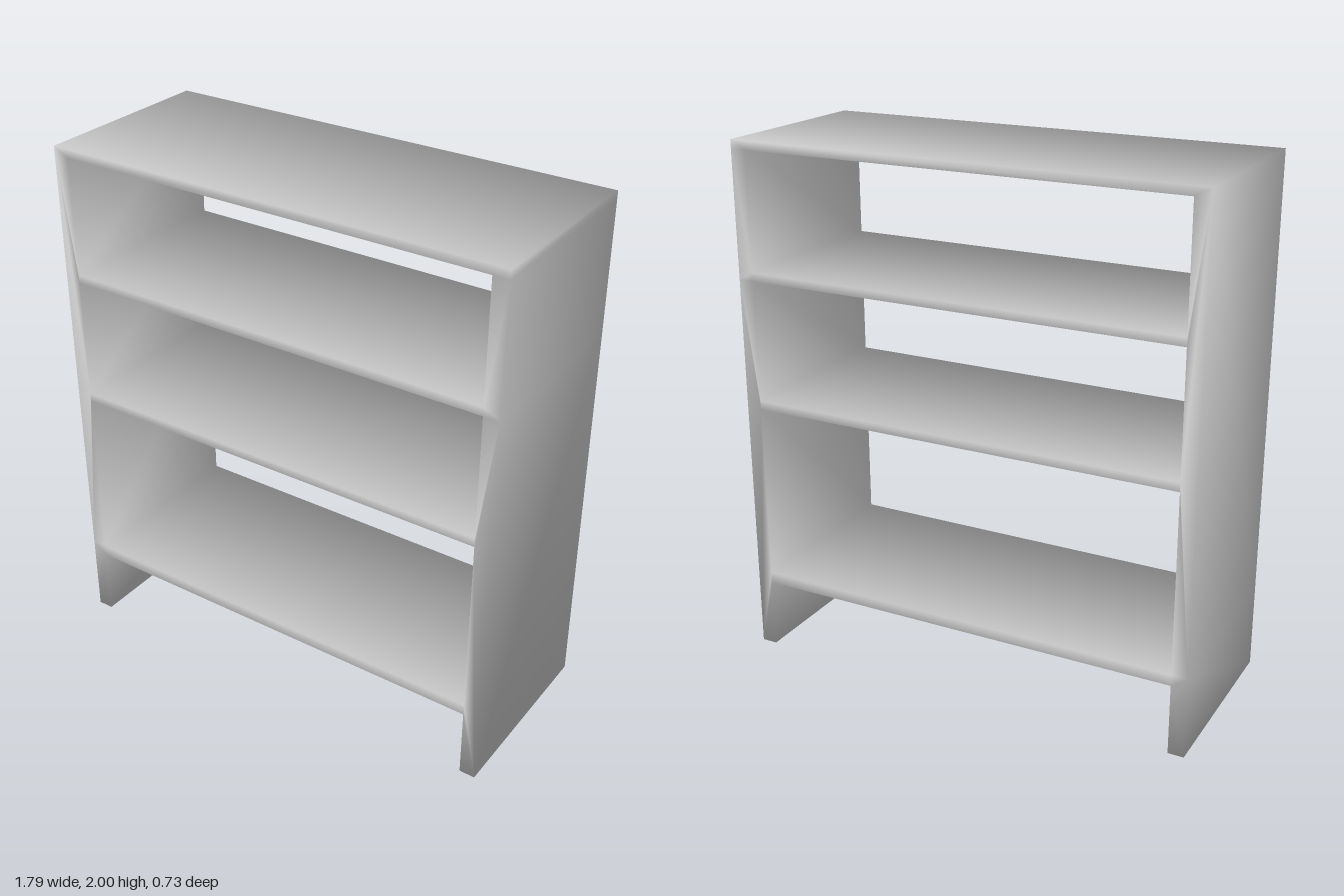
import * as THREE from 'three';

const X = 0.894, IN = 0.834, TOP = 2, Z = 0.364; // half width, inner half width, height, half depth
// Heights along the inner side walls: floor, then bottom and top of each board
const LEVELS = [0, 0.27, 0.312, 0.995, 1.028, 1.49, 1.522, 1.967];

const v = (x, y, z) => new THREE.Vector3(x, y, z);
const key = (p) => p.toArray().map((n) => n.toFixed(3)).join();

export function createModel() {
  const parts = {};        // part name -> list of corner points, three per triangle
  const normals = new Map(); // normals shared by all parts, so shading flows across joints

  // Triangle facing "dir"; adds its angle-weighted normal to the shared corners
  const tri = (part, dir, a, b, c) => {
    const n = b.clone().sub(a).cross(c.clone().sub(a)).normalize();
    if (n.dot(dir) < 0) {
      n.negate();
      [b, c] = [c, b];
    }
    const corners = [a, b, c];
    corners.forEach((p, i) => {
      const e1 = corners[(i + 1) % 3].clone().sub(p);
      const e2 = corners[(i + 2) % 3].clone().sub(p);
      const k = key(p);
      if (!normals.has(k)) normals.set(k, v(0, 0, 0));
      normals.get(k).addScaledVector(n, e1.angleTo(e2));
    });
    (parts[part] ??= []).push(...corners);
  };

  // Quad split along a-c
  const quad = (part, dir, a, b, c, d) => {
    tri(part, dir, a, b, c);
    tri(part, dir, a, c, d);
  };

  // Side panel with s = +1 or -1, its outer edge divided at the given heights
  const side = (part, s, outer) => {
    const xo = s * X, xi = s * IN;

    // Outer face
    for (let i = 0; i + 1 < outer.length; i++) {
      const [y0, y1] = [outer[i], outer[i + 1]];
      quad(part, v(s, 0, 0), v(xo, y0, Z), v(xo, y0, -Z), v(xo, y1, -Z), v(xo, y1, Z));
    }

    // Inner wall between the boards
    for (let i = 0; i < LEVELS.length; i += 2) {
      const [y0, y1] = [LEVELS[i], LEVELS[i + 1]];
      quad(part, v(-s, 0, 0), v(xi, y0, Z), v(xi, y0, -Z), v(xi, y1, -Z), v(xi, y1, Z));
    }

    // Foot
    quad(part, v(0, -1, 0), v(xo, 0, Z), v(xi, 0, Z), v(xi, 0, -Z), v(xo, 0, -Z));

    // Front and back edges: join outer and inner heights by the shortest diagonals
    for (const z of [Z, -Z]) {
      let o = 0, i = 0;
      while (o + 1 < outer.length || i + 1 < LEVELS.length) {
        const stepOuter = Math.abs((outer[o + 1] ?? Infinity) - LEVELS[i]);
        const stepInner = Math.abs((LEVELS[i + 1] ?? Infinity) - outer[o]);
        const a = v(xo, outer[o], z), b = v(xi, LEVELS[i], z);
        const c = stepOuter < stepInner ? v(xo, outer[++o], z) : v(xi, LEVELS[++i], z);
        tri(part, v(0, 0, z), a, b, c);
      }
    }
  };
  side('leftSide', 1, [0, 1.49, 1.967, TOP]);
  side('rightSide', -1, [0, 0.312, TOP]);

  // Board from y0 to y1; its upper face reaches out to half width x1
  const board = (part, y0, y1, x1) => {
    quad(part, v(0, -1, 0), v(-IN, y0, -Z), v(IN, y0, -Z), v(IN, y0, Z), v(-IN, y0, Z));
    quad(part, v(0, 1, 0), v(-x1, y1, Z), v(x1, y1, Z), v(x1, y1, -Z), v(-x1, y1, -Z));
    for (const z of [Z, -Z]) {
      quad(part, v(0, 0, z), v(-IN, y0, z), v(IN, y0, z), v(x1, y1, z), v(-x1, y1, z));
    }
  };
  board('lowerShelf', LEVELS[1], LEVELS[2], IN);
  board('middleShelf', LEVELS[3], LEVELS[4], IN);
  board('upperShelf', LEVELS[5], LEVELS[6], IN);
  board('topBoard', LEVELS[7], TOP, X);

  // One smooth mesh per part
  const group = new THREE.Group();
  group.name = 'openShelf';
  const material = new THREE.MeshStandardMaterial({ color: 0xcccccc });
  for (const [name, points] of Object.entries(parts)) {
    const geometry = new THREE.BufferGeometry().setFromPoints(points);
    const smooth = points.flatMap((p) => normals.get(key(p)).clone().normalize().toArray());
    geometry.setAttribute('normal', new THREE.Float32BufferAttribute(smooth, 3));
    const mesh = new THREE.Mesh(geometry, material);
    mesh.name = name;
    group.add(mesh);
  }
  return group;
}
